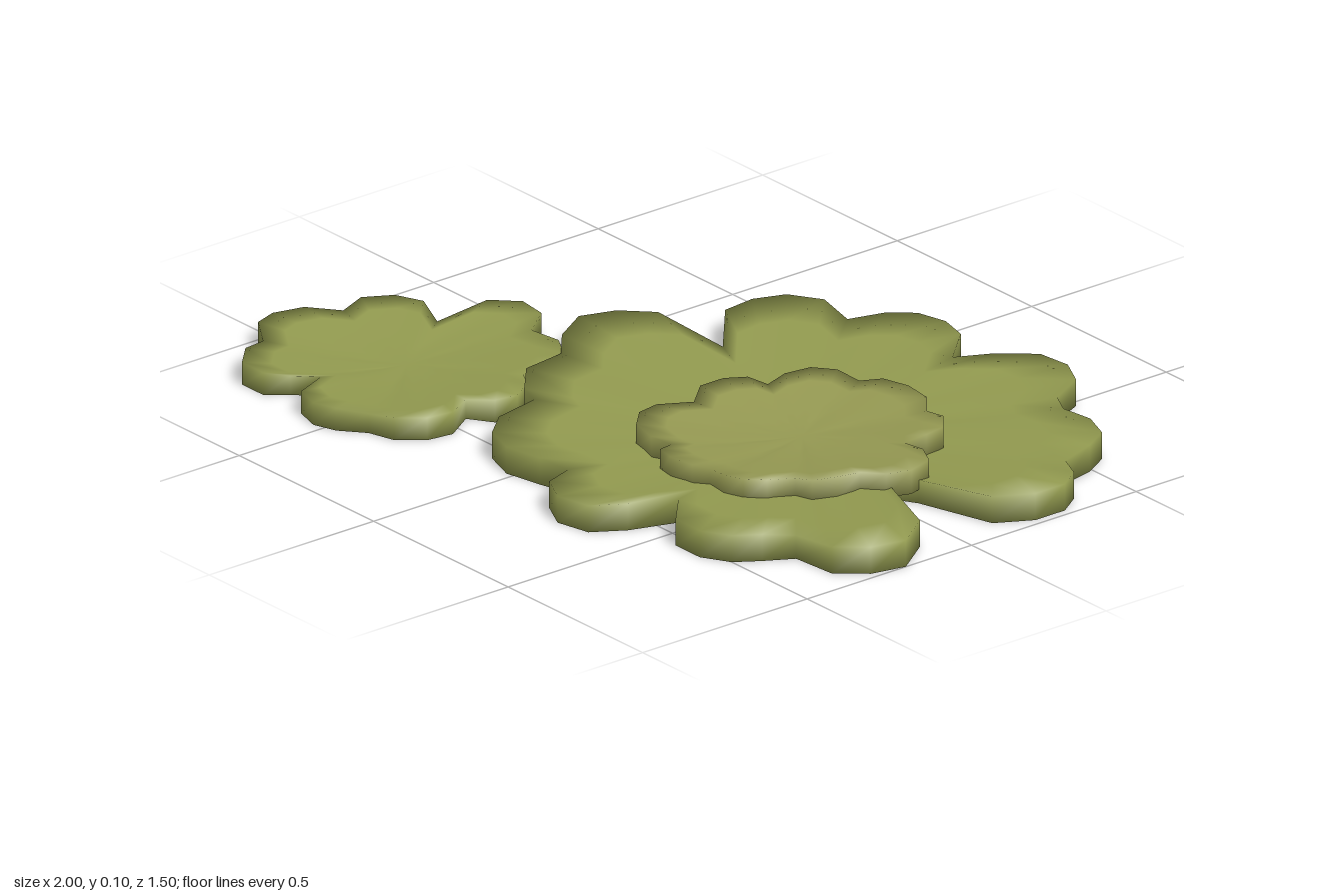
import * as THREE from 'three';

// Lobed outlines as x, z pairs in hundredths, clockwise seen from above
const LARGE = [
  22, -58, 28, -66, 35, -74, 44, -75, 52, -71, 56, -62, 62, -59, 72, -59, 80, -56, 84, -49,
  86, -40, 94, -36, 98, -30, 98, -21, 93, -12, 73, -6, 66, -2, 73, 2, 93, 10, 100, 20,
  98, 29, 92, 36, 80, 37, 76, 44, 72, 50, 65, 54, 56, 54, 46, 45, 42, 57, 37, 65,
  28, 67, 20, 63, 16, 54, 8, 56, -2, 58, -11, 55, -17, 48, -21, 34, -26, 33, -35, 25,
  -38, 12, -45, 6, -51, -4, -48, -13, -41, -20, -17, -20, -32, -33, -33, -42, -30, -50, -22, -55,
  -11, -53, -7, -61, -2, -67, 6, -69, 14, -67,
];
const SMALL = [
  -68, -1, -60, 0, -55, 7, -45, 7, -38, 11, -35, 18, -36, 25, -30, 29, -26, 35, -27, 41,
  -33, 45, -28, 53, -29, 60, -34, 66, -41, 68, -47, 73, -53, 75, -60, 73, -65, 63, -70, 68,
  -74, 73, -82, 73, -88, 67, -90, 60, -98, 55, -100, 49, -98, 41, -92, 34, -94, 27, -90, 20,
  -83, 17, -73, 21, -74, 5,
];
const UPPER = [
  35, -34, 43, -33, 48, -29, 54, -29, 59, -25, 60, -19, 59, -13, 66, -13, 72, -10, 74, -3,
  72, 3, 66, 6, 66, 13, 64, 19, 59, 20, 57, 27, 53, 31, 48, 33, 42, 32, 39, 35,
  32, 36, 27, 35, 25, 30, 20, 32, 12, 30, 7, 25, 6, 19, 9, 10, 4, 4, 4, -3,
  7, -8, 12, -10, 11, -16, 12, -23, 17, -27, 24, -28, 28, -32,
];

// A solid dished leaf: rings grow from the top centre to the rim, drop down the edge
// and return along the flat underside to the bottom centre
function makeLeaf(name, outline, [cx, cz], bottom, rim, middle, color) {
  const pts = [];
  for (let i = 0; i < outline.length; i += 2) {
    pts.push(new THREE.Vector2(outline[i] / 100, outline[i + 1] / 100));
  }
  const n = pts.length;

  // Outward direction at each corner; inward corners carry a shallow radial groove
  const outward = [], groove = [];
  pts.forEach((p, i) => {
    const prev = pts[(i + n - 1) % n], next = pts[(i + 1) % n];
    const a = p.clone().sub(prev).normalize(), b = next.clone().sub(p).normalize();
    const along = a.clone().add(b).normalize();
    outward.push(new THREE.Vector2(along.y, -along.x));
    groove.push(a.cross(b) < 0 ? 0.008 : 0);
  });

  const position = [cx, middle, cz];
  const topRings = [0.25, 0.5, 0.82, 1];
  const bottomRings = [1, 0.82, 0.4];
  for (const t of topRings) {
    pts.forEach((p, i) => {
      const y = middle + (rim - middle) * Math.pow(t, 1.6) - groove[i] * t;
      position.push(cx + (p.x - cx) * t, y, cz + (p.y - cz) * t);
    });
  }
  for (const t of bottomRings) {
    for (const p of pts) position.push(cx + (p.x - cx) * t, bottom, cz + (p.y - cz) * t);
  }
  position.push(cx, bottom, cz);

  const index = [];
  const ringCount = topRings.length + bottomRings.length;
  const lastRing = 1 + (ringCount - 1) * n;
  for (let i = 0; i < n; i++) {
    const j = (i + 1) % n;
    index.push(0, 1 + j, 1 + i);
    for (let r = 0; r < ringCount - 1; r++) {
      const a = 1 + r * n, b = a + n;
      index.push(a + i, a + j, b + j, a + i, b + j, b + i);
    }
    index.push(lastRing + i, lastRing + j, lastRing + n);
  }

  const geometry = new THREE.BufferGeometry();
  geometry.setAttribute('position', new THREE.Float32BufferAttribute(position, 3));
  geometry.setIndex(index);
  geometry.computeVertexNormals();

  // Softly rounded shading along the upper and lower rim
  const rimStart = 1 + (topRings.length - 1) * n;
  outward.forEach((o, i) => {
    const up = new THREE.Vector3(o.x, 0.6, o.y).normalize();
    geometry.attributes.normal.setXYZ(rimStart + i, up.x, up.y, up.z);
    geometry.attributes.normal.setXYZ(rimStart + n + i, up.x, -up.y, up.z);
  });

  const mesh = new THREE.Mesh(geometry, new THREE.MeshStandardMaterial({ color }));
  mesh.name = name;
  return mesh;
}

export function createModel() {
  const model = new THREE.Group();
  model.name = 'leafCluster';
  model.add(
    makeLeaf('largeLeaf', LARGE, [0.28, -0.05], 0, 0.068, 0.034, 0x939b50),
    makeLeaf('smallLeaf', SMALL, [-0.61, 0.4], 0, 0.057, 0.032, 0x939b50),
    makeLeaf('upperLeaf', UPPER, [0.37, 0], 0.036, 0.097, 0.068, 0x969a53),
  );
  return model;
}
